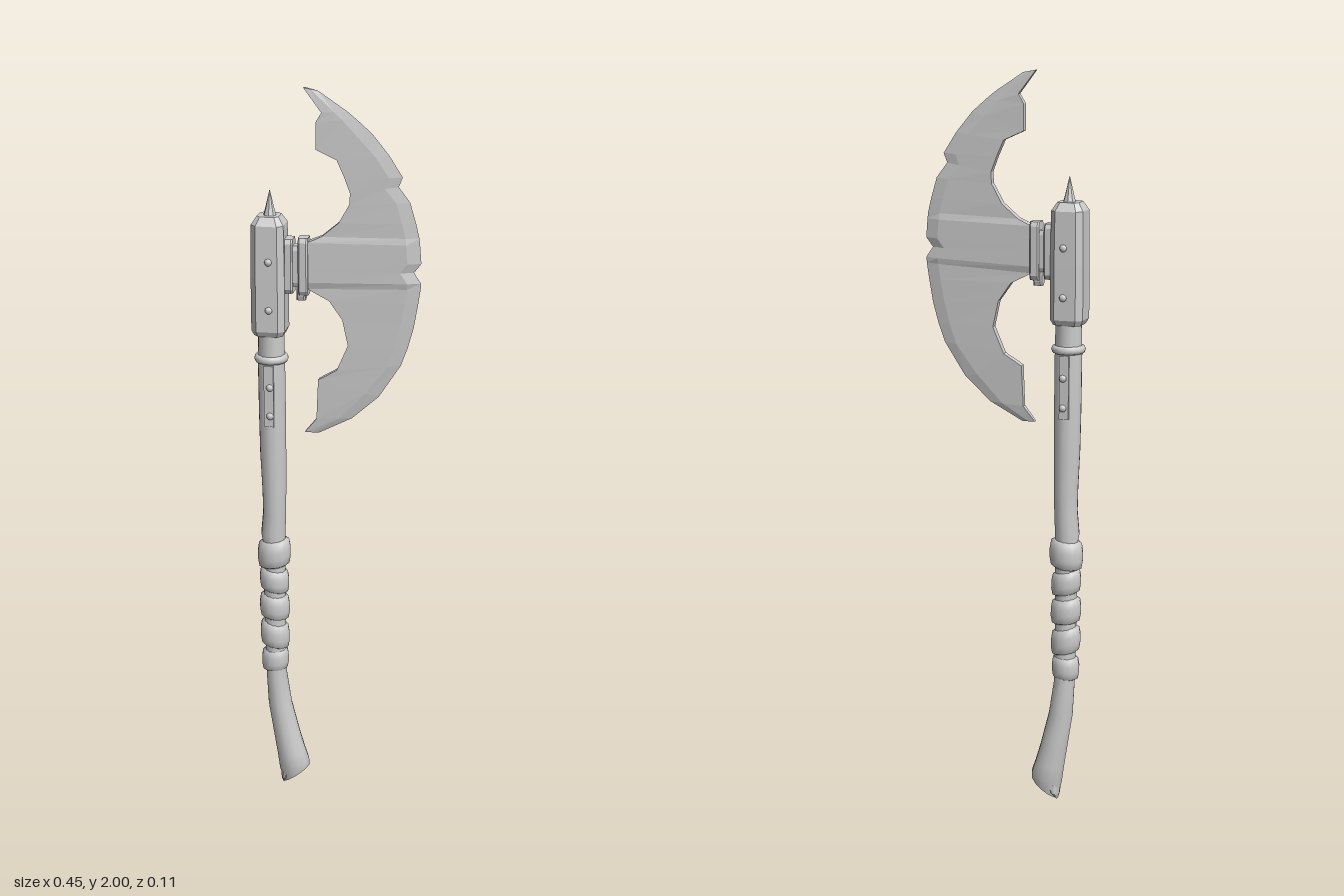
import * as THREE from 'three';

const steel = new THREE.MeshStandardMaterial({ color: 0xcccccc });
steel.name = 'pale grey';
const AXIS = -0.178; // x of the shaft axis

// Skin a stack of rings (bottom to top, counterclockwise from above), capped at both ends.
function loft(rings, smooth = false) {
  const n = rings[0].length, pos = [], idx = [];
  rings.forEach(r => r.forEach(p => pos.push(...p)));
  for (let i = 0; i < rings.length - 1; i++) for (let j = 0; j < n; j++) {
    const k = (j + 1) % n, a = i * n, b = a + n;
    idx.push(a + j, a + k, b + k, a + j, b + k, b + j);
  }
  for (const top of [false, true]) {
    const ring = top ? rings[rings.length - 1] : rings[0];
    const start = pos.length / 3;
    ring.forEach(p => pos.push(...p));
    pos.push(...[0, 1, 2].map(c => ring.reduce((s, p) => s + p[c], 0) / n));
    for (let j = 0; j < n; j++) {
      const k = (j + 1) % n;
      idx.push(start + n, start + (top ? j : k), start + (top ? k : j));
    }
  }
  let g = new THREE.BufferGeometry();
  g.setAttribute('position', new THREE.Float32BufferAttribute(pos, 3));
  g.setIndex(idx);
  if (!smooth) g = g.toNonIndexed();
  g.computeVertexNormals();
  return g;
}

// Elliptical ring; tilt is the slope of y along x.
function oval(cx, y, rx, rz, tilt = 0, n = 12) {
  return Array.from({ length: n }, (_, i) => {
    const a = (i / n) * Math.PI * 2, dx = rx * Math.cos(a);
    return [cx + dx, y + dx * tilt, -rz * Math.sin(a)];
  });
}

// Square ring with cut corners.
function chamfered(cx, y, hx, hz, cut) {
  const a = hx - cut, b = hz - cut;
  return [[hx, b], [hx, -b], [a, -hz], [-a, -hz], [-hx, -b], [-hx, b], [-a, hz], [a, hz]]
    .map(([x, z]) => [cx + x, y, z]);
}

export function createModel() {
  const group = new THREE.Group();
  const add = (name, geometry, x = 0, y = 0, z = 0) => {
    const m = new THREE.Mesh(geometry, steel);
    m.name = name;
    m.position.set(x, y, z);
    group.add(m);
    return m;
  };

  // Wooden shaft with a curved, slanted foot: centre x, y, radius x, radius z, tilt
  add('shaft', loft([
    [-0.118, 0.03, 0.037, 0.03, 0.75], [-0.124, 0.062, 0.043, 0.04, 0.35],
    [-0.132, 0.1, 0.041, 0.039, 0.15], [-0.143, 0.15, 0.038, 0.037, 0.1],
    [-0.163, 0.25, 0.034, 0.033, 0], [-0.173, 0.35, 0.029, 0.03, 0],
    [-0.176, 0.55, 0.03, 0.03, 0], [-0.176, 0.74, 0.031, 0.031, 0],
    [-0.178, 0.77, 0.034, 0.033, 0.1], [-0.174, 0.83, 0.032, 0.033, 0],
    [-0.174, 0.89, 0.033, 0.035, 0], [-0.176, 1.0, 0.036, 0.037, 0],
    [-0.177, 1.12, 0.037, 0.038, 0], [AXIS, 1.26, 0.037, 0.038, 0], [AXIS, 1.36, 0.035, 0.036, 0],
  ].map(r => oval(...r)), true));
  // Broken point under the foot
  add('footPoint', loft([
    oval(-0.154, 0, 0.002, 0.008), oval(-0.147, 0.02, 0.013, 0.026, 0.5), oval(-0.138, 0.05, 0.025, 0.033, 0.3),
  ]));

  // Grip wrapping: bulging, slanted bands
  [[0.71, 0.078, 0.046, 0.12], [0.63, 0.066, 0.041, -0.18], [0.55, 0.07, 0.042, -0.12],
    [0.465, 0.072, 0.041, -0.2], [0.388, 0.064, 0.038, 0.08]].forEach(([y, h, r, tilt], i) => {
    const profile = [[-0.5, 0.7], [-0.42, 0.92], [-0.15, 1], [0.15, 1], [0.42, 0.92], [0.5, 0.7]];
    add('gripBand' + (i + 1), loft(profile.map(([t, s]) =>
      oval(-0.176, y + t * h, r * s, (r - 0.002) * s, tilt, 14)), true));
  });

  // Collar ring below the head
  const collar = add('collarRing', new THREE.TorusGeometry(0.034, 0.012, 8, 20), AXIS, 1.273, 0);
  collar.rotation.x = Math.PI / 2;

  // Socket head with chamfered corners, and the spike on top
  add('head', loft([[1.34, 0.038], [1.355, 0.045], [1.5, 0.045], [1.64, 0.043], [1.662, 0.029]]
    .map(([y, h]) => chamfered(AXIS - 0.002, y, h, h, h * 0.35))));
  add('spike', loft([[1.655, 0.019], [1.68, 0.012], [1.727, 0.0008]]
    .map(([y, r]) => oval(AXIS, y, r, r, 0, 8))));

  // Straps and rivets on front and back
  for (const s of [1, -1]) {
    add('strap', new THREE.BoxGeometry(0.026, 0.17, 0.012), AXIS, 1.175, s * 0.035);
    for (const [y, z] of [[1.545, 0.044], [1.415, 0.045], [1.2, 0.041], [1.12, 0.041]]) {
      add('rivet', new THREE.SphereGeometry(0.01, 8, 6), AXIS + 0.003, y, s * z).scale.z = 0.8;
    }
  }

  // Bracket joining the head to the blade
  const block = (name, x, y, hx, hy, hz) => add(name, loft([[-hy, 0.75], [-hy + 0.012, 1], [hy - 0.012, 1], [hy, 0.75]]
    .map(([dy, s]) => chamfered(x, y + dy, hx, hz * s, 0.004))));
  block('bracketPlate', -0.127, 1.53, 0.012, 0.073, 0.026);
  block('bracketNeck', -0.108, 1.53, 0.014, 0.055, 0.018);
  block('bracketClamp', -0.088, 1.53, 0.013, 0.077, 0.024);
  block('bracketLug', -0.095, 1.458, 0.012, 0.02, 0.015);

  // Blade sections, top to bottom: inner x, inner y, outer x, outer y, half thickness
  const sections = [
    [-0.087, 1.997, -0.05, 1.99, 0.006], [-0.04, 1.935, 0.025, 1.94, 0.008],
    [-0.055, 1.91, 0.05, 1.92, 0.009], [-0.055, 1.84, 0.09, 1.885, 0.01],
    [0, 1.815, 0.135, 1.83, 0.01], [0.02, 1.77, 0.17, 1.775, 0.01],
    [0.035, 1.73, 0.16, 1.75, 0.01], [0.033, 1.7, 0.19, 1.71, 0.01],
    [0.005, 1.65, 0.206, 1.655, 0.011], [-0.04, 1.612, 0.215, 1.617, 0.011],
    [-0.078, 1.595, 0.217, 1.6, 0.016], [-0.078, 1.54, 0.221, 1.55, 0.016],
    [-0.078, 1.52, 0.202, 1.525, 0.016], [-0.078, 1.488, 0.221, 1.497, 0.016],
    [-0.078, 1.47, 0.22, 1.482, 0.011], [-0.02, 1.44, 0.214, 1.44, 0.011],
    [0.015, 1.39, 0.203, 1.375, 0.01], [0.03, 1.32, 0.188, 1.32, 0.01],
    [0, 1.25, 0.17, 1.27, 0.01], [-0.05, 1.22, 0.112, 1.18, 0.01],
    [-0.055, 1.11, 0.04, 1.115, 0.008], [-0.087, 1.07, -0.05, 1.068, 0.006],
  ];
  add('blade', loft(sections.reverse().map(([ix, iy, ox, oy, h]) => {
    const t = 1 - Math.min(0.035 / (ox - ix), 0.5); // where the sharpened edge begins
    const bx = ix + (ox - ix) * t, by = iy + (oy - iy) * t, bz = h * 0.65;
    return [[ox, oy, 0], [bx, by, -bz], [ix, iy, -h], [ix, iy, h], [bx, by, bz]];
  })));

  return group;
}
